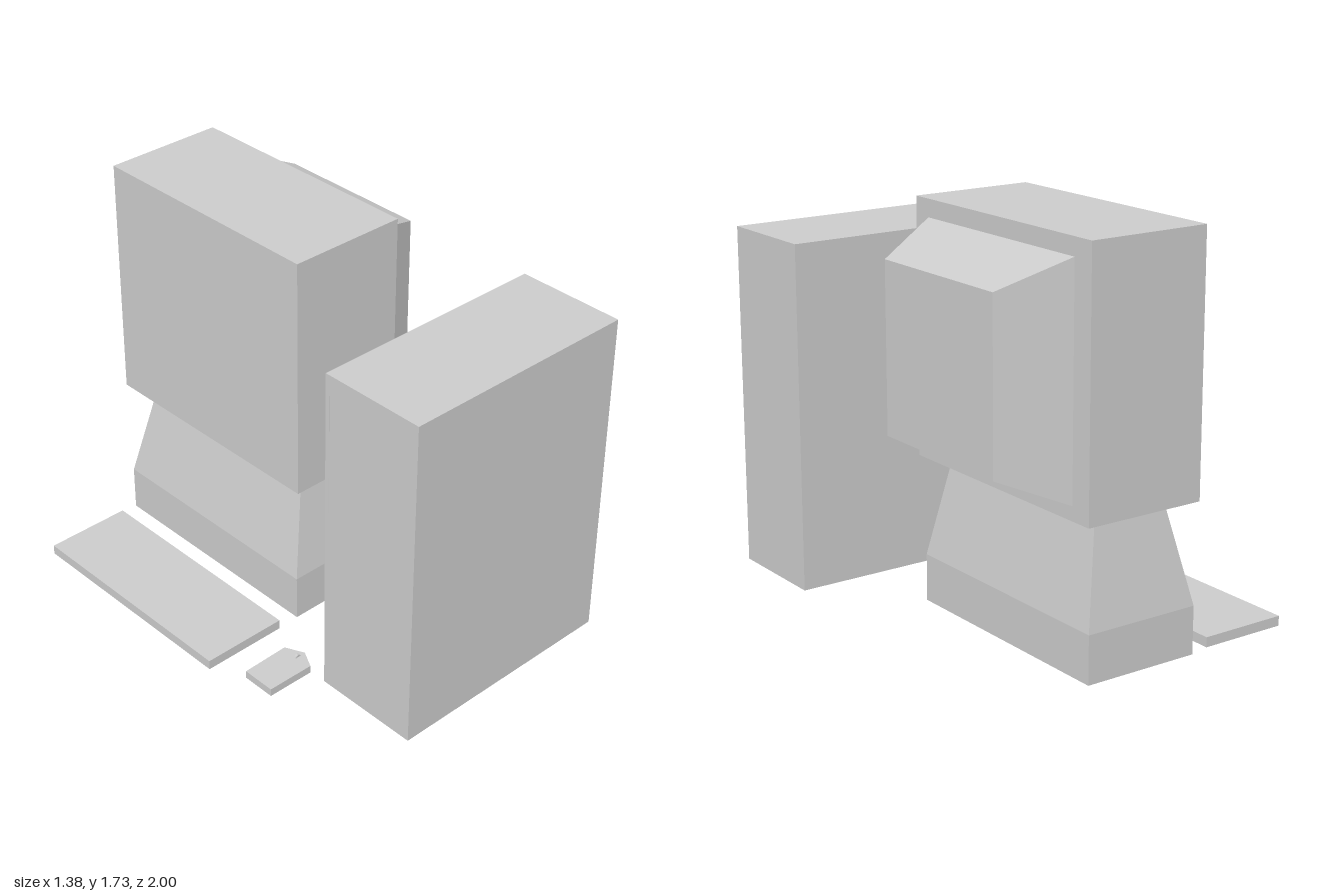
import * as THREE from 'three';

const material = new THREE.MeshStandardMaterial({ color: 0xcccccc, flatShading: true });
const thin = new THREE.MeshStandardMaterial({ color: 0xcccccc, flatShading: true, side: THREE.DoubleSide });

function add(parent, name, geometry, mat = material) {
  const mesh = new THREE.Mesh(geometry, mat);
  mesh.name = name;
  parent.add(mesh);
  return mesh;
}

// Box given by its limits on each axis
function boxBetween([x0, x1], [y0, y1], [z0, z1]) {
  return new THREE.BoxGeometry(x1 - x0, y1 - y0, z1 - z0)
    .translate((x0 + x1) / 2, (y0 + y1) / 2, (z0 + z1) / 2);
}

// Unit box whose corners are placed by a rule
function shapedBox(rule) {
  const geometry = new THREE.BoxGeometry(1, 1, 1);
  const p = geometry.attributes.position;
  for (let i = 0; i < p.count; i++) {
    p.setXYZ(i, ...rule(p.getX(i) > 0, p.getY(i) > 0, p.getZ(i) > 0));
  }
  geometry.computeVertexNormals();
  return geometry;
}

function rectangle(target, [z0, z1], [y0, y1]) {
  target.moveTo(-z0, y0);
  target.lineTo(-z1, y0);
  target.lineTo(-z1, y1);
  target.lineTo(-z0, y1);
  target.closePath();
  return target;
}

// Case whose -x face carries rectangular recesses
function recessedCase(name, [x0, x1], y, z, depth, openings) {
  const group = new THREE.Group();
  group.name = name;
  add(group, name + 'Body', boxBetween([x0 + depth, x1], y, z));
  const face = rectangle(new THREE.Shape(), z, y);
  for (const o of openings) face.holes.push(rectangle(new THREE.Path(), o.z, o.y));
  const bezel = new THREE.ExtrudeGeometry(face, { depth, bevelEnabled: false });
  add(group, name + 'Bezel', bezel.rotateY(Math.PI / 2).translate(x0, 0, 0));
  return group;
}

// Shell with a flat top and open underside, from an outline of [x, z] points
function openShell(outline, bottom, height) {
  const shape = new THREE.Shape(outline.map(([x, z]) => new THREE.Vector2(x, -z)));
  const full = new THREE.ExtrudeGeometry(shape, { depth: height, bevelEnabled: false })
    .rotateX(-Math.PI / 2).translate(0, bottom, 0);
  const p = full.attributes.position;
  const kept = [];
  for (let i = 0; i < p.count; i += 3) {
    const top = Math.max(p.getY(i), p.getY(i + 1), p.getY(i + 2));
    if (top < bottom + height / 2) continue;
    for (let k = i; k < i + 3; k++) kept.push(p.getX(k), p.getY(k), p.getZ(k));
  }
  const geometry = new THREE.BufferGeometry();
  geometry.setAttribute('position', new THREE.Float32BufferAttribute(kept, 3));
  geometry.computeVertexNormals();
  return geometry;
}

export function createModel() {
  const model = new THREE.Group();
  model.name = 'desktopComputer';

  // Monitor with sunken screen and tapered rear housing
  const monitor = recessedCase('monitor', [-0.19, 0.35], [0.65, 1.73], [-1, 0.13], 0.04,
    [{ z: [-0.9, 0.04], y: [0.71, 1.655] }]);
  add(monitor, 'rearHousing', shapedBox((right, up, front) => right
    ? [0.63, up ? 1.54 : 0.83, front ? -0.07 : -0.785]
    : [0.35, up ? 1.655 : 0.71, front ? 0.045 : -0.9]));
  model.add(monitor);

  // Stand: straight foot below, tapered neck above
  const stand = new THREE.Group();
  stand.name = 'stand';
  add(stand, 'standFoot', boxBetween([-0.2, 0.32], [0.005, 0.21], [-0.97, 0.13]));
  add(stand, 'standNeck', shapedBox((right, up, front) => up
    ? [right ? 0.235 : -0.1, 0.65, front ? 0.05 : -0.89]
    : [right ? 0.32 : -0.2, 0.21, front ? 0.13 : -0.97]));
  model.add(stand);

  // Tower with a drive bay and a small lower panel
  model.add(recessedCase('tower', [-0.4, 0.69], [0.01, 1.51], [0.515, 1], 0.02, [
    { z: [0.535, 0.965], y: [0.66, 1.44] },
    { z: [0.755, 0.96], y: [0.465, 0.595] },
  ]));

  // Keyboard
  add(model, 'keyboard', openShell(
    [[-0.69, 0.13], [-0.3, 0.13], [-0.3, -0.94], [-0.69, -0.94]], 0, 0.043), thin);

  // Mouse with pointed nose and scroll wheel
  const mouse = new THREE.Group();
  mouse.name = 'mouse';
  add(mouse, 'mouseShell', openShell(
    [[-0.62, 0.433], [-0.403, 0.435], [-0.363, 0.357], [-0.403, 0.275], [-0.62, 0.28]], 0.008, 0.035), thin);
  const wheel = new THREE.CylinderGeometry(0.014, 0.014, 0.01, 10).rotateX(Math.PI / 2);
  add(mouse, 'scrollWheel', wheel).position.set(-0.402, 0.04, 0.355);
  model.add(mouse);

  return model;
}
